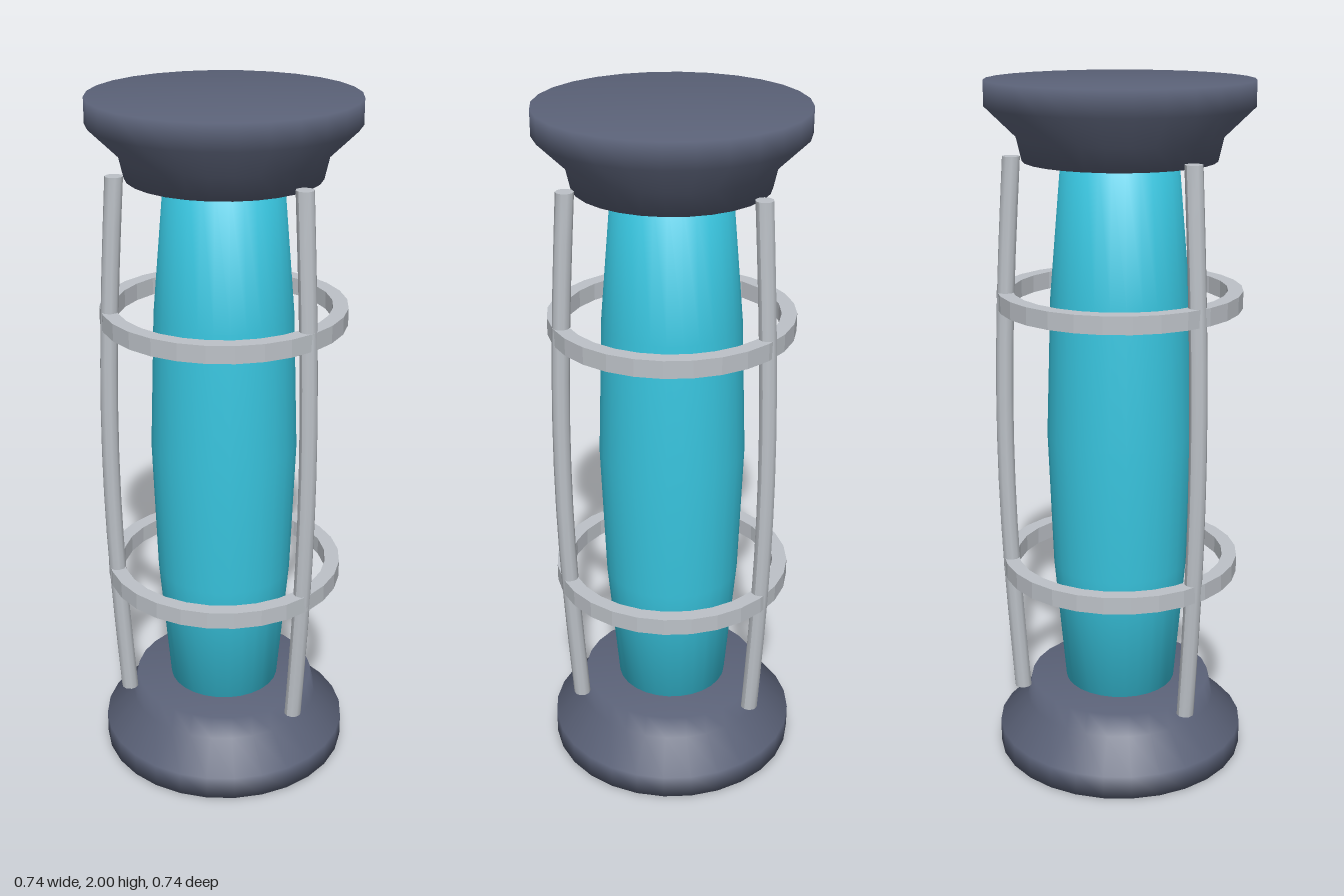
import * as THREE from 'three';

const darkMetal = new THREE.MeshStandardMaterial({ color: 0x5b6278 });
darkMetal.name = 'slate metal';
const glow = new THREE.MeshStandardMaterial({ color: 0x38c5df });
glow.name = 'cyan glass';
const steel = new THREE.MeshStandardMaterial({ color: 0xbcc1c7 });
steel.name = 'light steel';

const SIDES = 28;

// Turned part from [radius, height] pairs, listed bottom to top
function lathe(points) {
  return new THREE.LatheGeometry(points.map(([r, y]) => new THREE.Vector2(r, y)), SIDES);
}

function addMesh(parent, name, geometry, material) {
  const mesh = new THREE.Mesh(geometry, material);
  mesh.name = name;
  parent.add(mesh);
  return mesh;
}

// Upright rod that bows outward along +x
function bowedRod() {
  const height = 1.6;
  const geometry = new THREE.CylinderGeometry(0.025, 0.025, height, 10, 12);
  const pos = geometry.attributes.position;
  for (let i = 0; i < pos.count; i++) {
    const t = pos.getY(i) / height + 0.5;
    pos.setX(i, pos.getX(i) + 0.3 + 0.035 * Math.sin(Math.PI * t));
  }
  geometry.computeVertexNormals();
  return geometry;
}

// Flat-faceted band of rectangular section
function band() {
  const inner = 0.305, outer = 0.348, h = 0.025;
  const geometry = lathe([[inner, -h], [outer, -h], [outer, h], [inner, h], [inner, -h]]).toNonIndexed();
  geometry.computeVertexNormals();
  return geometry;
}

export function createModel() {
  const model = new THREE.Group();
  model.name = 'canister';

  // End caps, mirrored top and bottom
  const profile = [[0, 0], [0.37, 0], [0.37, 0.07], [0.285, 0.152], [0.27, 0.217], [0, 0.217]];
  addMesh(model, 'baseCap', lathe(profile), darkMetal);
  const upper = profile.map(([r, y]) => [r, 2 - y]).reverse();
  addMesh(model, 'topCap', lathe(upper), darkMetal);

  // Barrel-shaped core
  addMesh(model, 'core', lathe([
    [0, 0.2], [0.163, 0.2], [0.198, 0.6], [0.212, 1], [0.198, 1.4], [0.163, 1.8], [0, 1.8],
  ]), glow);

  // Cage of three rods and two bands
  const rod = bowedRod();
  for (let i = 0; i < 3; i++) {
    const mesh = addMesh(model, 'cageRod', rod, steel);
    mesh.position.y = 1;
    mesh.rotation.y = (i * Math.PI * 2) / 3;
  }
  const ring = band();
  for (const y of [0.6, 1.4]) addMesh(model, 'cageRing', ring, steel).position.y = y;

  return model;
}
